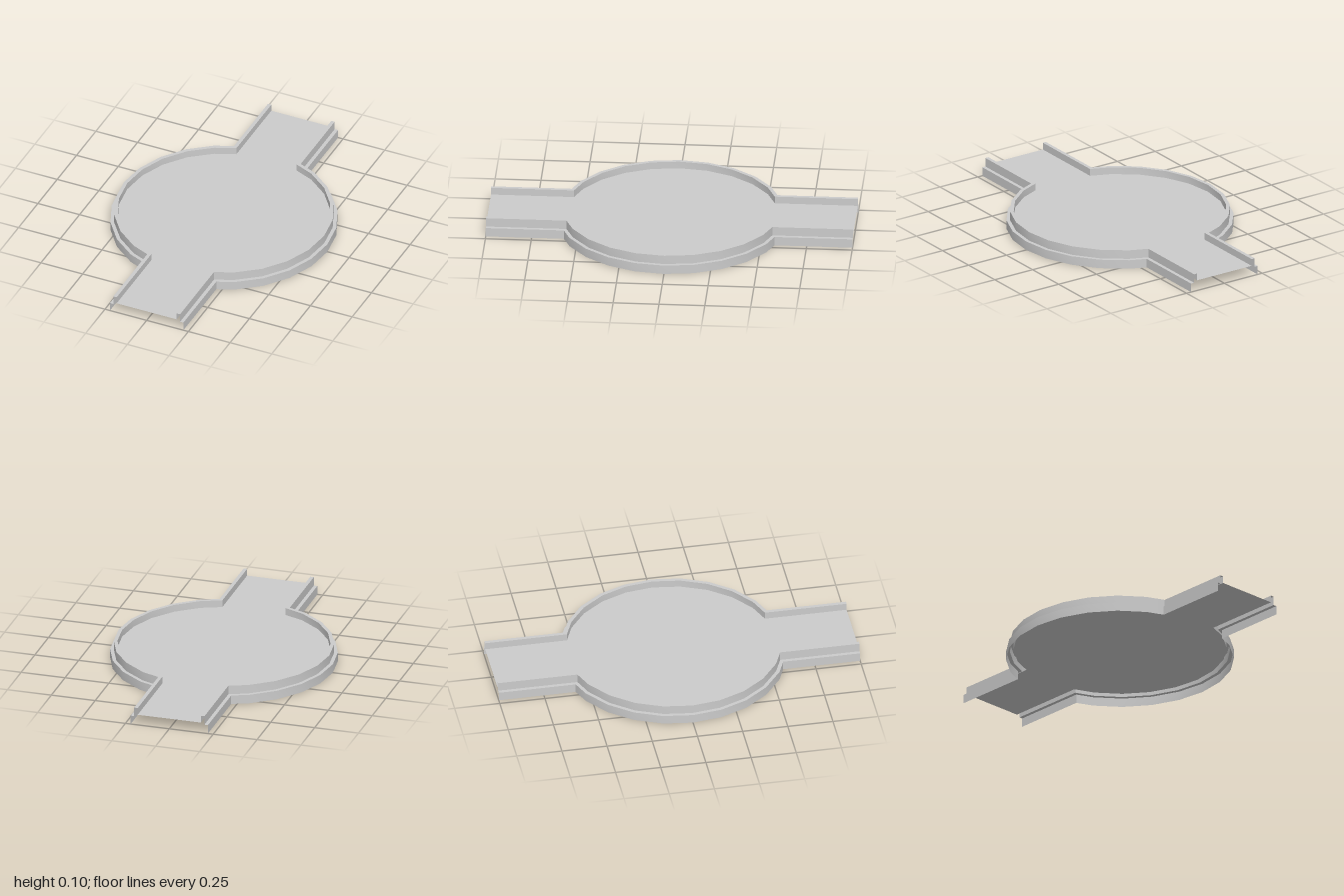
import * as THREE from 'three';

const ARM_END = 1, STEP = Math.PI / 12, RING = 0.4;

// Outline of the +x half at a given half-width, as [arm, arc, arm] runs of [x, z]
function outline(w) {
  const r = RING + w;
  const p = k => [r * Math.cos(k * STEP), r * Math.sin(k * STEP)];
  const a = p(4), b = p(5);
  const t = (a[0] - w) / (a[0] - b[0]);
  const zc = a[1] + (b[1] - a[1]) * t; // where the arm meets the 24-sided ring
  const arc = [[w, zc]];
  for (let k = 4; k >= -4; k--) arc.push(p(k));
  arc.push([w, -zc]);
  return [[[w, ARM_END], [w, zc]], arc, [[w, -zc], [w, -ARM_END]]];
}

// Smooth strip between two matching runs at heights ya and yb
function ribbon(a, ya, b, yb) {
  const pos = [], idx = [];
  a.forEach(([x, z], i) => {
    pos.push(x, ya, z, b[i][0], yb, b[i][1]);
    if (i < a.length - 1) {
      const n = 2 * i;
      idx.push(n, n + 2, n + 1, n + 2, n + 3, n + 1);
    }
  });
  const g = new THREE.BufferGeometry();
  g.setAttribute('position', new THREE.Float32BufferAttribute(pos, 3));
  g.setIndex(idx);
  g.computeVertexNormals();
  return g;
}

export function createModel() {
  const model = new THREE.Group();
  model.name = 'roundWalkway';
  const grey = new THREE.MeshStandardMaterial({ color: 0xcccccc, side: THREE.DoubleSide });
  grey.name = 'lightGrey';

  // Stepped kerb profile: [half-width, height], from the skirt foot to the floor
  const profile = [[0.22, 0], [0.22, 0.05], [0.2, 0.05], [0.2, 0.1], [0.18, 0.1], [0.18, 0.06]];
  const bands = ['skirt', 'ledge', 'outerWall', 'kerbTop', 'innerWall'];
  const runs = ['FrontArm', 'Ring', 'BackArm'];

  for (const side of ['left', 'right']) {
    const kerb = new THREE.Group();
    kerb.name = side + 'Kerb';
    if (side === 'right') kerb.rotation.y = Math.PI;
    bands.forEach((band, i) => {
      const [wa, ya] = profile[i], [wb, yb] = profile[i + 1];
      const a = outline(wa), b = outline(wb);
      runs.forEach((run, j) => {
        const mesh = new THREE.Mesh(ribbon(a[j], ya, b[j], yb), grey);
        mesh.name = band + run;
        kerb.add(mesh);
      });
    });
    model.add(kerb);
  }

  // Floor sheet inside the kerbs
  const half = outline(0.18)[1];
  const edge = [[0.18, ARM_END], ...half, [0.18, -ARM_END]];
  const loop = [...edge, ...edge.map(([x, z]) => [-x, -z])];
  const shape = new THREE.Shape(loop.map(([x, z]) => new THREE.Vector2(x, -z)));
  const floor = new THREE.Mesh(new THREE.ShapeGeometry(shape).rotateX(-Math.PI / 2), grey);
  floor.position.y = 0.06;
  floor.name = 'floor';
  model.add(floor);
  return model;
}
